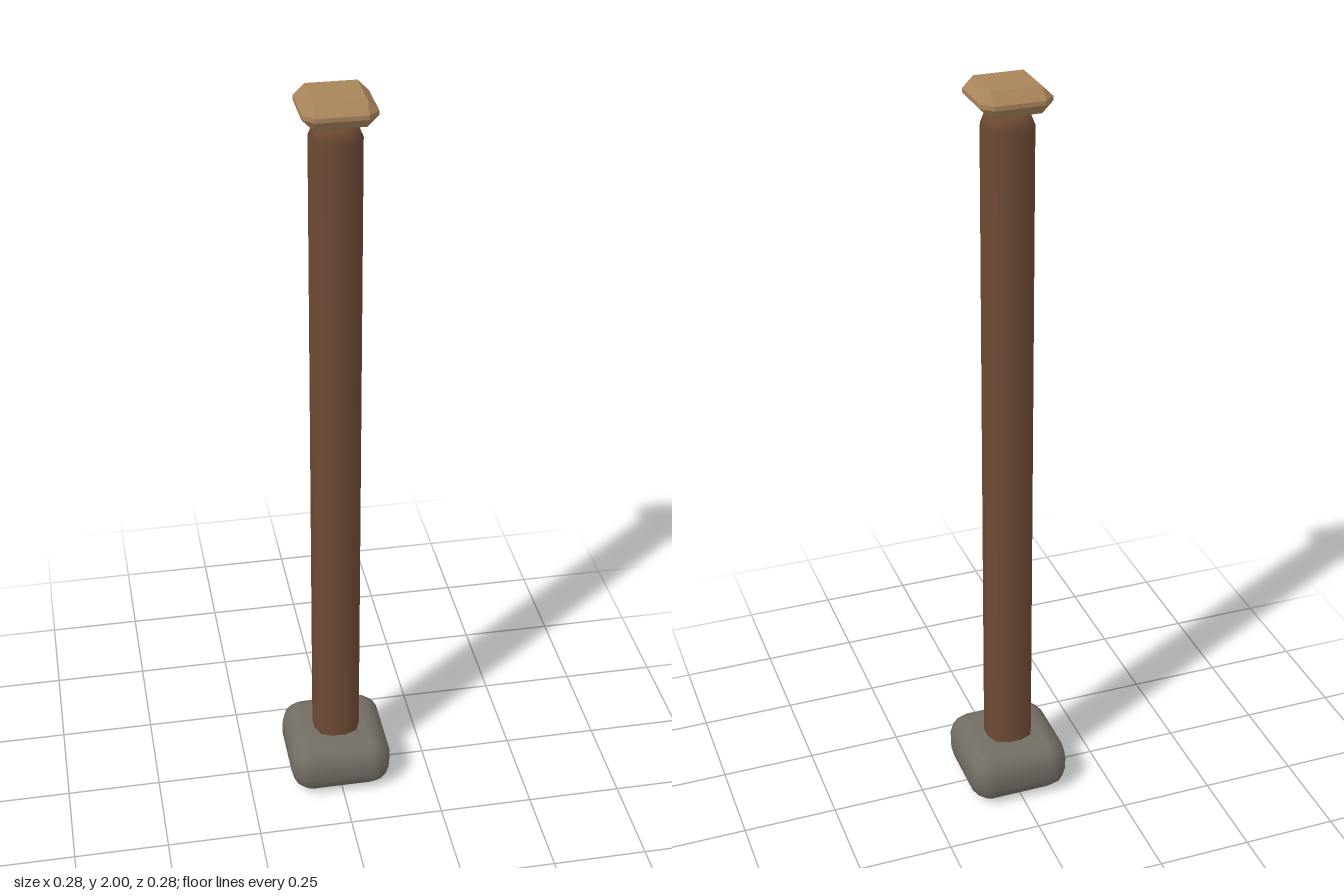
import * as THREE from 'three';
import { mergeVertices } from 'three/addons/utils/BufferGeometryUtils.js';

// Square block from y0 to y1 with rounded edges of radius r cut into n steps.
function beveledBlock(half, y0, y1, r, n) {
  const inner = half - r, quarter = Math.PI / 2;
  const count = 4 * (n + 1), levels = 2 * (n + 1);
  const positions = [], index = [];
  for (let k = 0; k < levels; k++) {
    const upper = k > n;
    const lat = (upper ? (k - n - 1) / n : k / n - 1) * quarter;
    const y = (upper ? y1 - r : y0 + r) + r * Math.sin(lat);
    const reach = r * Math.cos(lat);
    for (let q = 0; q < 4; q++) {
      const sx = q === 0 || q === 3 ? 1 : -1, sz = q < 2 ? 1 : -1;
      for (let i = 0; i <= n; i++) {
        const a = (q + i / n) * quarter;
        positions.push(sx * inner + reach * Math.cos(a), y, sz * inner + reach * Math.sin(a));
      }
    }
  }
  // side strips
  for (let k = 0; k < levels - 1; k++) {
    for (let j = 0; j < count; j++) {
      const a = k * count + j, b = k * count + (j + 1) % count;
      index.push(a, a + count, b + count, a, b + count, b);
    }
  }
  // flat bottom and top
  const s = n + 1, t = (levels - 1) * count;
  index.push(0, s, 2 * s, 0, 2 * s, 3 * s);
  index.push(t, t + 2 * s, t + s, t, t + 3 * s, t + 2 * s);

  const geometry = new THREE.BufferGeometry();
  geometry.setAttribute('position', new THREE.Float32BufferAttribute(positions, 3));
  geometry.setIndex(index);
  const merged = mergeVertices(geometry, 1e-5);
  merged.computeVertexNormals();
  return merged;
}

export function createModel() {
  const group = new THREE.Group();
  group.name = 'post';
  const stone = new THREE.MeshStandardMaterial({ name: 'grey stone', color: 0x736e65 });
  const darkWood = new THREE.MeshStandardMaterial({ name: 'dark wood', color: 0x6e4a34 });
  const lightWood = new THREE.MeshStandardMaterial({ name: 'light wood', color: 0xa8845a, flatShading: true });

  const add = (name, geometry, material) => {
    const mesh = new THREE.Mesh(geometry, material);
    mesh.name = name;
    group.add(mesh);
  };

  add('stoneBase', beveledBlock(0.138, 0, 0.15, 0.058, 3), stone);
  add('woodenShaft', beveledBlock(0.0625, 0.04, 1.938, 0.045, 2), darkWood);
  add('topCap', beveledBlock(0.089, 1.935, 2, 0.027, 1), lightWood);
  return group;
}
